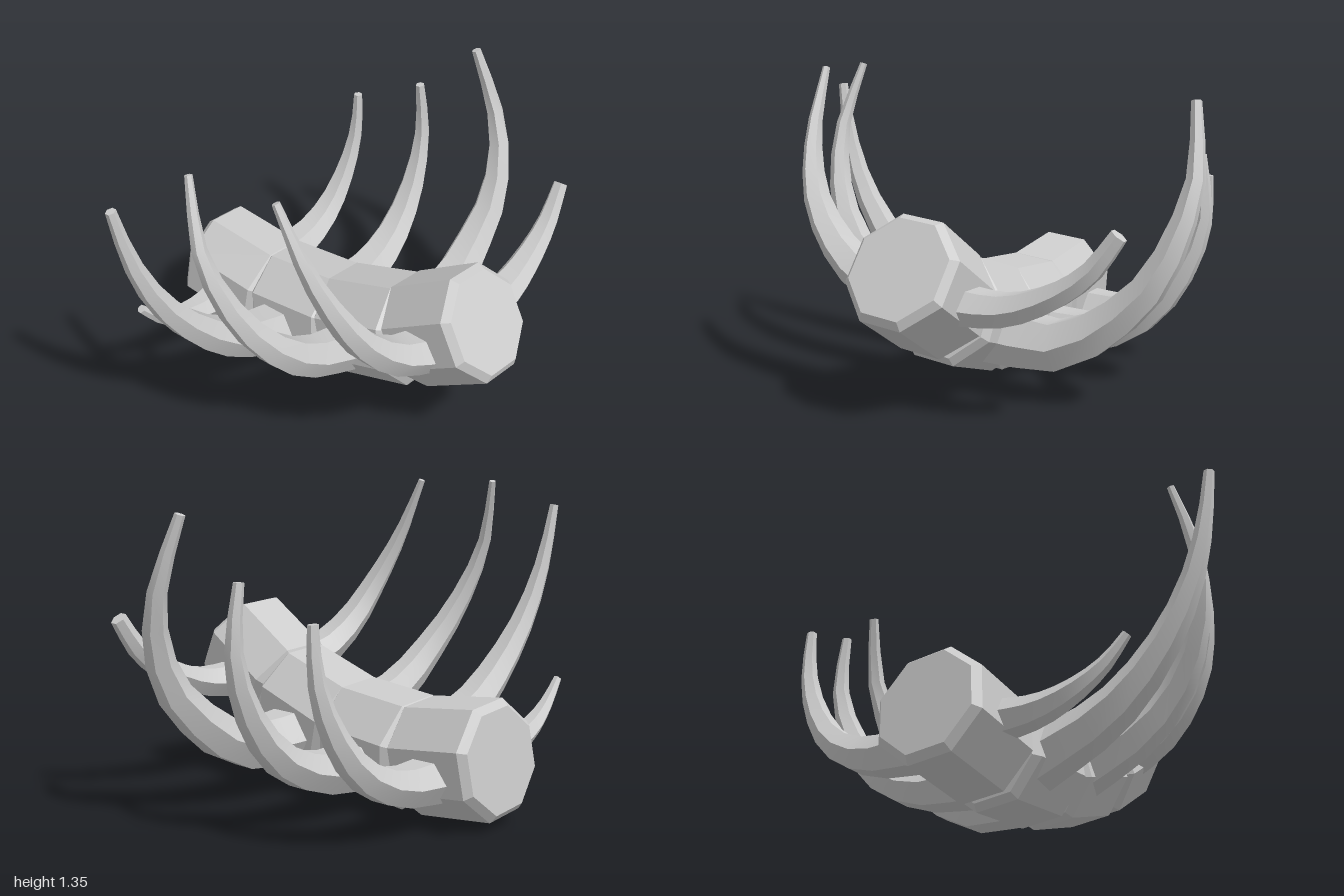
import * as THREE from 'three';
import { toCreasedNormals } from 'three/addons/utils/BufferGeometryUtils.js';

const material = new THREE.MeshStandardMaterial({ color: 0xcccccc });
const flat = new THREE.MeshStandardMaterial({ color: 0xcccccc, flatShading: true });

// Bevelled eight-sided block lying along z, tilted so its front rises
function makeVertebra(y, z, length, tiltDegrees) {
  const h = length / 2, r = 0.247, bevel = 0.03;
  const profile = [[0, -h], [r - bevel, -h], [r, -h + bevel], [r, h - bevel], [r - bevel, h], [0, h]]
    .map(([a, b]) => new THREE.Vector2(a, b));
  const geometry = new THREE.LatheGeometry(profile, 8, THREE.MathUtils.degToRad(16));
  geometry.rotateX(Math.PI / 2);
  const mesh = new THREE.Mesh(geometry, flat);
  mesh.position.set(0, y, z);
  mesh.rotation.x = -THREE.MathUtils.degToRad(tiltDegrees);
  return mesh;
}

// Tapering six-sided horn swept along a curved path
function makeRib({ path, width, thick, tip }) {
  const curve = new THREE.CatmullRomCurve3(path.map(p => new THREE.Vector3(...p)));
  const steps = 10, sides = 6, positions = [], index = [];
  for (let i = 0; i <= steps; i++) {
    const t = i / steps;
    const centre = curve.getPointAt(t), along = curve.getTangentAt(t);
    const side = new THREE.Vector3(0, 0, 1);
    side.addScaledVector(along, -side.dot(along)).normalize();
    const up = new THREE.Vector3().crossVectors(along, side);
    const taper = Math.pow(1 - t, 1.15);
    const w = (tip + (width - tip) * taper) / 2;
    const d = (tip + (thick - tip) * taper) / 2 * 1.1;
    for (let j = 0; j < sides; j++) {
      const a = (j / sides) * Math.PI * 2;
      const p = centre.clone().addScaledVector(side, w * Math.cos(a)).addScaledVector(up, d * Math.sin(a));
      positions.push(p.x, p.y, p.z);
    }
  }
  for (let i = 0; i < steps; i++) {
    for (let j = 0; j < sides; j++) {
      const k = (j + 1) % sides;
      const a = i * sides + j, b = i * sides + k;
      index.push(a, b, a + sides, b, b + sides, a + sides);
    }
  }
  // End caps
  const last = steps * sides;
  for (let j = 1; j < sides - 1; j++) {
    index.push(last, last + j, last + j + 1, 0, j + 1, j);
  }
  const geometry = new THREE.BufferGeometry();
  geometry.setAttribute('position', new THREE.Float32BufferAttribute(positions, 3));
  geometry.setIndex(index);
  return new THREE.Mesh(toCreasedNormals(geometry, 0.5), material);
}

// Spine blocks, front to back: y, z, length, tilt
const vertebrae = [
  [0.52, 0.55, 0.40, 32],
  [0.343, 0.183, 0.41, 18],
  [0.262, -0.2, 0.405, 5.5],
  [0.265, -0.606, 0.415, -6.5],
];

// Rib centre lines, front to back on each side
const leftRibs = [
  { width: 0.23, thick: 0.16, tip: 0.065, path: [[0.12, 0.47, 0.55], [0.38, 0.475, 0.56], [0.56, 0.54, 0.56], [0.72, 0.65, 0.555], [0.83, 0.8, 0.545]] },
  { width: 0.28, thick: 0.25, tip: 0.04, path: [[0.12, 0.27, 0.18], [0.45, 0.26, 0.21], [0.65, 0.37, 0.2], [0.83, 0.55, 0.195], [0.92, 0.75, 0.165], [0.96, 0.95, 0.1], [0.92, 1.25, 0]] },
  { width: 0.27, thick: 0.21, tip: 0.04, path: [[0.12, 0.2, -0.21], [0.42, 0.21, -0.215], [0.64, 0.31, -0.225], [0.8, 0.51, -0.235], [0.88, 0.75, -0.25], [0.86, 1.01, -0.26]] },
  { width: 0.24, thick: 0.19, tip: 0.04, path: [[0.12, 0.21, -0.61], [0.4, 0.22, -0.605], [0.58, 0.31, -0.6], [0.71, 0.48, -0.59], [0.78, 0.68, -0.58], [0.79, 0.88, -0.575]] },
];
const rightRibs = [
  { width: 0.24, thick: 0.18, tip: 0.03, path: [[-0.12, 0.48, 0.54], [-0.32, 0.55, 0.51], [-0.47, 0.67, 0.48], [-0.58, 0.83, 0.44], [-0.66, 1.07, 0.34], [-0.68, 1.35, 0.21]] },
  { width: 0.22, thick: 0.21, tip: 0.03, path: [[-0.12, 0.28, 0.13], [-0.42, 0.4, 0.12], [-0.6, 0.55, 0.1], [-0.74, 0.77, 0.03], [-0.8, 1.05, -0.07], [-0.74, 1.35, -0.165]] },
  { width: 0.26, thick: 0.22, tip: 0.04, path: [[-0.12, 0.2, -0.25], [-0.45, 0.33, -0.26], [-0.65, 0.49, -0.27], [-0.83, 0.73, -0.295], [-0.93, 0.98, -0.32], [-0.98, 1.24, -0.34]] },
  { width: 0.21, thick: 0.16, tip: 0.035, path: [[-0.12, 0.25, -0.6], [-0.35, 0.26, -0.59], [-0.5, 0.31, -0.585], [-0.62, 0.39, -0.575], [-0.71, 0.49, -0.57]] },
];

export function createModel() {
  const model = new THREE.Group();
  model.name = 'spineWithRibs';

  const spine = new THREE.Group();
  spine.name = 'spine';
  vertebrae.forEach((v, i) => {
    const mesh = makeVertebra(...v);
    mesh.name = `vertebra${i + 1}`;
    spine.add(mesh);
  });
  model.add(spine);

  for (const [name, ribs] of [['leftRib', leftRibs], ['rightRib', rightRibs]]) {
    ribs.forEach((rib, i) => {
      const mesh = makeRib(rib);
      mesh.name = `${name}${i + 1}`;
      model.add(mesh);
    });
  }
  return model;
}
